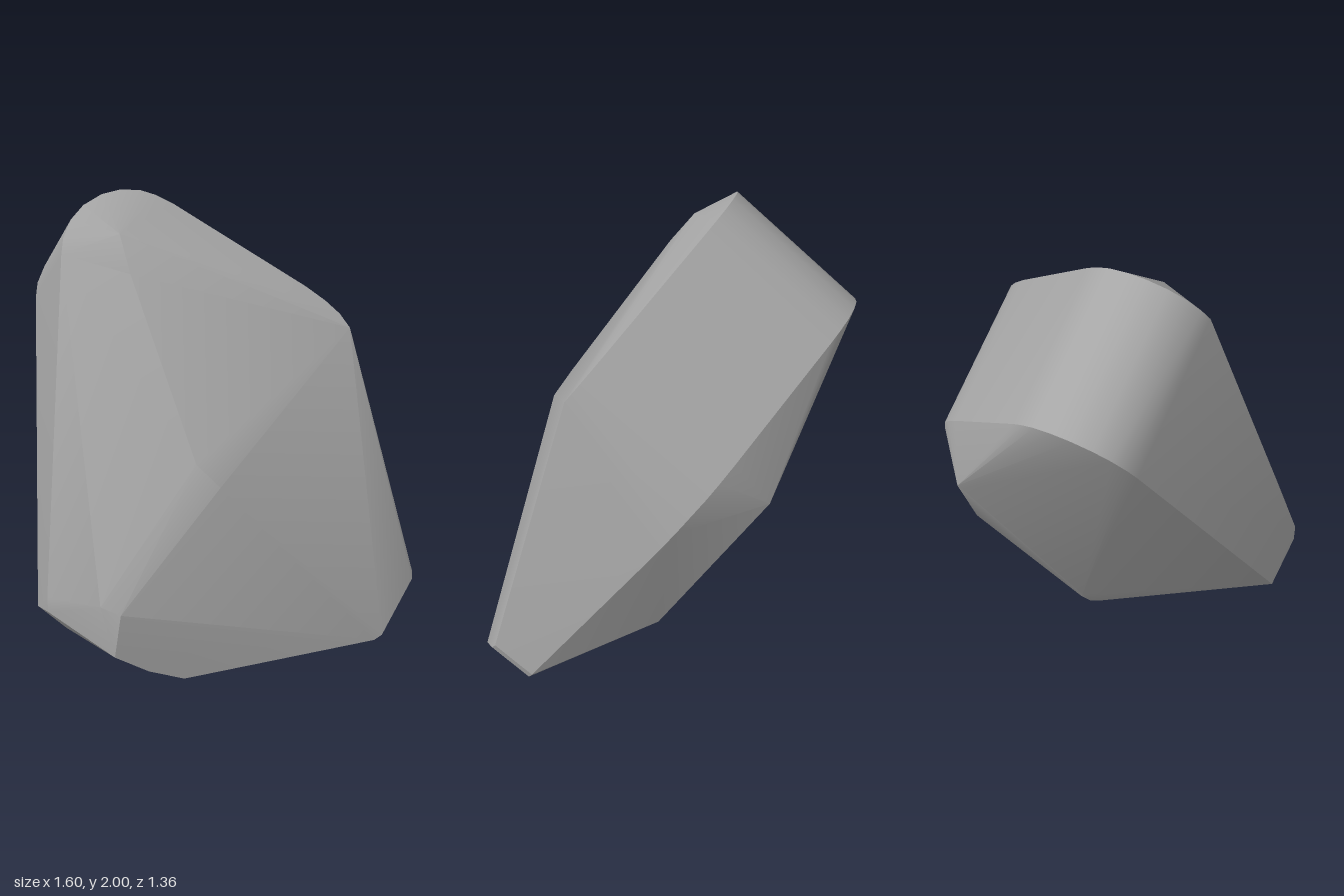
import * as THREE from 'three';
import { ConvexGeometry } from 'three/addons/geometries/ConvexGeometry.js';
import { toCreasedNormals } from 'three/addons/utils/BufferGeometryUtils.js';

const stone = new THREE.MeshStandardMaterial({ color: 0xa6a6a6 });
stone.name = 'grey stone';

const v = (x, y, z) => new THREE.Vector3(x, y, z);
// The two rims lie in parallel tilted planes
const frontRim = (x, y) => v(x, y, -0.16 + (2 - y) / 1.283);
const backRim = (x, y) => v(x, y, -0.68 + (1.59 - y) / 1.283);

export function createModel() {
  const group = new THREE.Group();
  group.name = 'rock';
  const points = [];

  // Rounded crown and right shoulder, swept backwards along the slope
  const crown = [
    [-0.555, 1.82], [-0.535, 1.87], [-0.49, 1.925], [-0.43, 1.965], [-0.35, 1.992],
    [-0.27, 2], [-0.19, 1.99], [-0.13, 1.968], [-0.07, 1.935],
    [0.41, 1.61], [0.48, 1.555], [0.53, 1.505], [0.56, 1.455],
  ];
  for (const [x, y] of crown) points.push(frontRim(x, y), backRim(x, y - 0.41));

  // Rest of the back rim: shoulder, right corner, base corner, rounded lower left
  const lower = [
    [0.61, 0.97], [0.65, 0.87], [0.8, 0.24], [0.79, 0.215], [0.59, 0.05], [0.56, 0.04],
    [-0.32, 0.12], [-0.45, 0.16], [-0.58, 0.22], [-0.7, 0.295], [-0.8, 0.385],
  ];
  for (const [x, y] of lower) points.push(backRim(x, y));

  // Front edge of the base band
  points.push(
    v(0.8, 0.36, 0.53), v(0.79, 0.335, 0.55), v(0.6, 0.17, 0.67), v(0.56, 0.16, 0.68),
    v(-0.3, 0.19, 0.68), v(-0.45, 0.27, 0.68), v(-0.59, 0.38, 0.68), v(-0.56, 0.58, 0.68),
    v(-0.63, 0.61, 0.64), v(-0.8, 0.57, 0.46), v(-0.8, 0.5, 0.46),
  );

  // Front ridge and peak
  points.push(v(-0.33, 1.89, 0.02), v(-0.32, 1.76, 0.12), v(-0.2, 1.12, 0.545), v(-0.12, 1.03, 0.6));

  // Back ridge, underside knuckle and rounded foot
  points.push(
    v(0.32, 0.98, -0.5), v(0.3, 0.96, -0.49), v(0.54, 0.44, -0.1),
    v(0.04, 0, 0.09), v(0.06, 0.06, 0.04), v(0.03, 0.11, 0.005), v(0, 0.01, 0.1),
  );

  const body = new THREE.Mesh(toCreasedNormals(new ConvexGeometry(points), 0.4), stone);
  body.name = 'boulder';
  group.add(body);
  return group;
}
